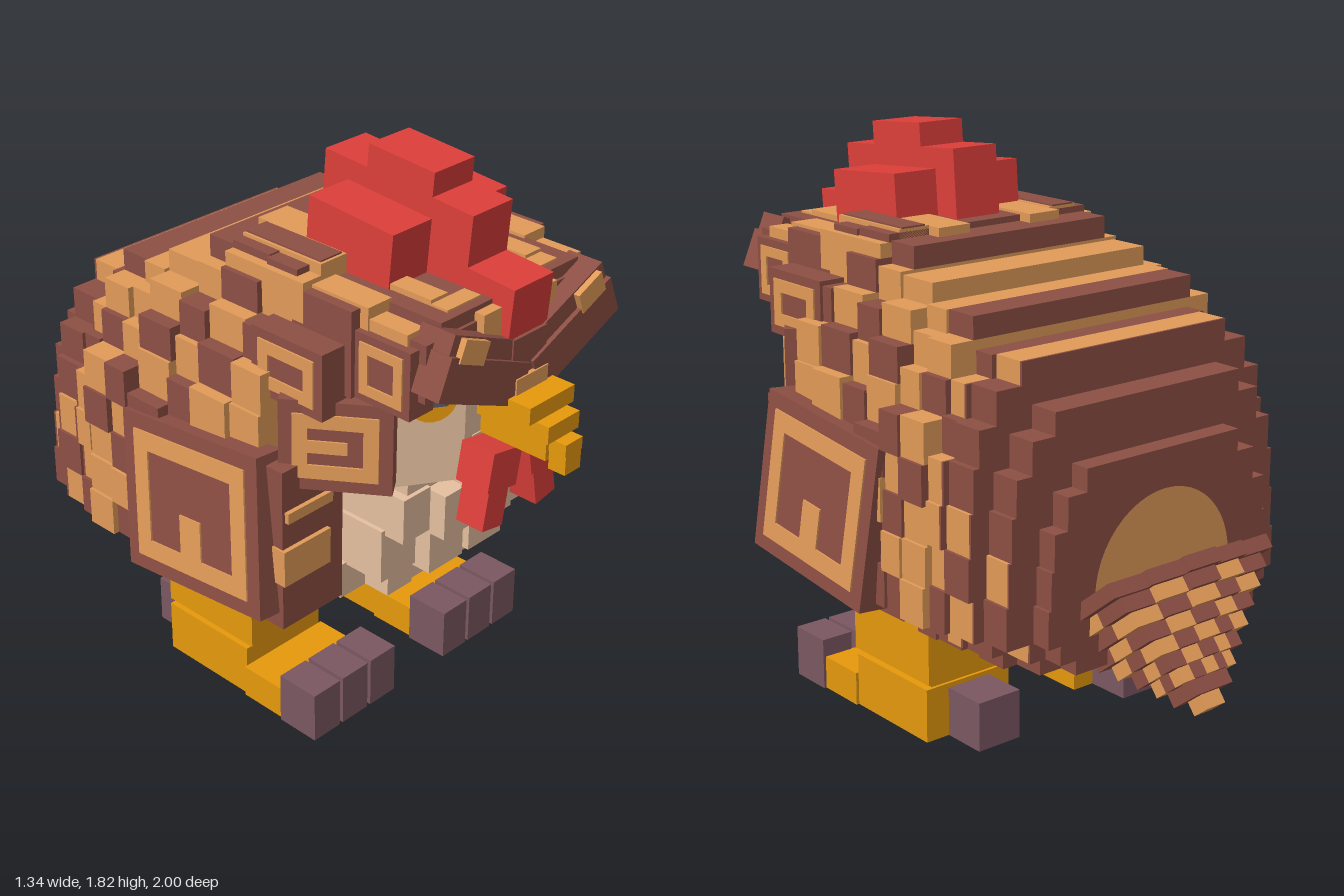
import * as THREE from 'three';

const mat = (name, color) => {
  const m = new THREE.MeshStandardMaterial({ color });
  m.name = name;
  return m;
};

export function createModel() {
  const brown = mat('brown feather', 0x8d4f44);
  const tan = mat('orange feather', 0xe29b58);
  const cream = mat('cream feather', 0xe5c09f);
  const red = mat('red comb', 0xdd3f3a);
  const yellow = mat('yellow skin', 0xe6990c);
  const claw = mat('claw', 0x7b5762);
  const grey = mat('pupil', 0x5c5660);

  const model = new THREE.Group();
  const add = (geo, m, name, parent = model) => {
    const mesh = new THREE.Mesh(geo, m);
    mesh.name = name;
    parent.add(mesh);
    return mesh;
  };
  // Box given by its extents on each axis
  const box = (name, m, x0, x1, y0, y1, z0, z1, parent = model) => {
    const b = add(new THREE.BoxGeometry(Math.abs(x1 - x0), y1 - y0, z1 - z0), m, name, parent);
    b.position.set((x0 + x1) / 2, (y0 + y1) / 2, (z0 + z1) / 2);
    return b;
  };
  const group = (name, x, y, z) => {
    const g = new THREE.Group();
    g.name = name;
    g.position.set(x, y, z);
    g.rotation.order = 'YXZ';
    model.add(g);
    return g;
  };
  // Brown slab with a square orange ring on its +z face
  const slab = (g, w, h, depth, inset, band) => {
    box('slab', brown, -w / 2, w / 2, -h / 2, h / 2, -depth, 0, g);
    const a = w / 2 - inset, b = h / 2 - inset, t = 0.006;
    for (const s of [-1, 1]) {
      box('ringSide', tan, s * a, s * (a - band), -b, b, 0, t, g);
      box('ringEdge', tan, -a + band, a - band, s > 0 ? b - band : -b, s > 0 ? b : -b + band, 0, t, g);
    }
  };

  // Body: stepped slices from back to front [z0, z1, top, halfWidth, top is orange]
  const slices = [
    [-0.765, -0.70, 0.99, 0.43, 0], [-0.70, -0.60, 1.15, 0.52, 0], [-0.60, -0.49, 1.28, 0.575, 1],
    [-0.49, -0.42, 1.28, 0.585, 0], [-0.42, -0.31, 1.38, 0.6, 0], [-0.31, -0.22, 1.38, 0.6, 1],
    [-0.22, -0.08, 1.44, 0.6, 1], [-0.08, 0.03, 1.52, 0.6, 0], [0.03, 0.18, 1.54, 0.59, 0],
    [0.18, 0.30, 1.535, 0.57, 0],
  ];
  // Widest half-width allowed at each height
  const limits = [[1.04, 0.6], [1.12, 0.56], [1.24, 0.53], [1.32, 0.49], [1.4, 0.45], [1.47, 0.42], [9, 0.38]];
  slices.forEach(([z0, z1, top, w, light], i) => {
    const rows = [[0.375, 0.42, 0.78], [0.42, 0.48, 0.87]];
    const n = Math.round((top - 0.76) / 0.13), step = (top - 0.76) / n;
    for (let k = 0; k < n; k++) rows.push([0.48 + k * step, 0.48 + (k + 1) * step, 1]);
    rows.push([top - 0.28, top - 0.17, 0.93], [top - 0.17, top - 0.07, 0.84], [top - 0.07, top, 0.7]);
    rows.forEach(([y0, y1, f], r) => {
      const last = r === rows.length - 1;
      const check = i > 0 && r > (i > 7 ? 1 : 0) && (i + r + (i * r * 3 % 7 === 1 ? 1 : 0)) % 2 === 0;
      const m = (last ? light : check) ? tan : brown;
      const limit = limits.find(([y]) => (y0 + y1) / 2 < y)[1];
      const hw = Math.min(w * f, limit) + ((i * 7 + r * 5) % 3) * 0.01;
      const back = m === tan && i < 4 ? 0.008 : 0;
      box('bodyFeather', m, -hw, hw, y0, y1, z0 + back, z1);
      if (back) box('bodyBack', brown, -hw, hw, y0, y1, z0, z0 + back);
    });
  });
  const arc = add(new THREE.CircleGeometry(0.27, 24, 0, Math.PI), tan, 'rumpPatch');
  arc.rotation.y = Math.PI;
  arc.position.set(0, 0.6, -0.77);

  // Tail: tapering checked layers pointing down and back
  const tail = group('tail', 0, 0.56, -0.72);
  tail.rotation.x = Math.atan2(0.63, 0.777);
  const layers = 9;
  for (let i = 0; i < layers; i++) {
    const t = i / (layers - 1), w = 0.32 - 0.285 * t, d = 0.25 - 0.215 * t, y = -i * 0.045;
    const n = i < 7 ? 5 : 1, m = i < 7 ? 3 : 1;
    for (let c = 0; c < n; c++) {
      const x0 = -w + (c * 2 * w) / n, dz = d * (1 - 0.1 * Math.abs(c - (n - 1) / 2));
      for (let k = 0; k < m; k++) {
        const z0 = -dz + (k * 2 * dz) / m, color = (i === 0 && k < 2) || (i + c + k) % 2 ? brown : tan;
        box('tailFeather', color, x0, x0 + (2 * w) / n, y - 0.045, y, z0, z0 + (2 * dz) / m, tail);
      }
    }
  }

  // Belly: overlapping cream tiers of feathers [y0, y1, halfWidth, front z, count]
  [[0.44, 0.56, 0.33, 0.48, 6], [0.54, 0.72, 0.305, 0.61, 4], [0.69, 0.84, 0.29, 0.67, 5], [0.82, 1.01, 0.26, 0.68, 3]]
    .forEach(([y0, y1, w, z, n], t) => {
      for (let k = 0; k < n; k++) {
        const x0 = -w + (2 * w * k) / n, edge = k === 0 || k === n - 1;
        const j = ((k * 2 + t) % 3) * 0.012;
        box('bellyFeather', cream, x0, x0 + (2 * w) / n, y0 + j * (t ? 1 : 0), y1 + j, 0.25, z + j - (edge ? 0.07 : 0));
      }
    });

  // Face: cream wedge with slanted cheeks
  const faceShape = new THREE.Shape([[-0.31, -0.25], [0.31, -0.25], [0.31, -0.58], [0.12, -0.70], [-0.12, -0.70], [-0.31, -0.58]]
    .map(([x, y]) => new THREE.Vector2(x, y)));
  const face = add(new THREE.ExtrudeGeometry(faceShape, { depth: 0.4, bevelEnabled: false }), cream, 'face');
  face.rotation.x = -Math.PI / 2;
  face.position.y = 0.9;

  // Head cap
  box('headBack', brown, -0.42, 0.42, 1.22, 1.49, 0.30, 0.53);
  box('headFront', brown, -0.37, 0.37, 1.27, 1.45, 0.53, 0.76);
  box('crown', brown, -0.3, 0.3, 1.44, 1.49, 0.40, 0.75);
  box('browCentre', tan, -0.16, 0.16, 1.38, 1.475, 0.6, 0.785);
  box('browPoint', brown, -0.075, 0.075, 1.19, 1.38, 0.7, 0.825);
  box('browTip', tan, -0.07, 0.07, 1.2, 1.26, 0.82, 0.84);

  for (const s of [-1, 1]) {
    // Crown markings
    box('crownStripe', tan, s * 0.12, s * 0.24, 1.5, 1.548, -0.02, 0.34);
    box('crownRidge', tan, s * 0.24, s * 0.35, 1.45, 1.55, 0.03, 0.345);
    box('crownRidgeTop', brown, s * 0.255, s * 0.34, 1.55, 1.555, 0.03, 0.335);
    box('crownSide', tan, s * 0.35, s * 0.422, 1.39, 1.515, 0.03, 0.345);
    box('crownEdge', tan, s * 0.29, s * 0.385, 1.42, 1.5, 0.345, 0.56);
    box('crownEdge', tan, s * 0.31, s * 0.38, 1.42, 1.465, 0.56, 0.7);
    box('crownBracket', tan, s * 0.17, s * 0.24, 1.48, 1.508, 0.345, 0.66);
    box('crownBracket', tan, s * 0.1, s * 0.24, 1.48, 1.497, 0.66, 0.72);

    // Slanted brow in two layers
    const brow = group('brow', s * 0.185, 1.3, 0.77);
    brow.rotation.z = s * 0.4;
    box('browLower', brown, s * -0.17, s * 0.205, -0.07, 0.06, -0.07, 0.065, brow);
    box('browUpper', brown, s * -0.15, s * 0.2, 0.06, 0.12, -0.07, 0.05, brow);
    box('browPatch', tan, s * 0.06, s * 0.17, 0.045, 0.115, -0.06, 0.07, brow);

    // Eye
    const eye = group('eye', s * 0.205, 1.18, 0.647);
    eye.rotation.y = s * 0.563;
    const disc = add(new THREE.CylinderGeometry(0.075, 0.075, 0.008, 20), yellow, 'iris', eye);
    disc.rotation.x = Math.PI / 2;
    box('pupil', grey, s * -0.045, s * 0.005, -0.025, 0.05, 0.002, 0.008, eye);

    // Patterned feathers beside the head
    const temple = group('templeFeather', s * 0.405, 1.325, 0.63);
    temple.rotation.y = s * Math.PI / 2;
    slab(temple, 0.21, 0.21, 0.1, 0.025, 0.032);
    const cheek = group('cheekFeather', s * 0.51, 1.275, 0.365);
    cheek.rotation.y = s * Math.PI / 2;
    slab(cheek, 0.28, 0.21, 0.15, 0.03, 0.04);
    const shoulder = group('shoulderFeather', s * 0.455, 1.065, 0.505);
    shoulder.rotation.y = s * 0.96;
    slab(shoulder, 0.33, 0.29, 0.09, 0.04, 0.045);
    box('shoulderMark', tan, s * -0.035, s * 0.08, -0.02, 0.02, 0, 0.006, shoulder);

    // Flank column between belly and wing, with orange feathers
    box('flank', brown, s * 0.335, s * 0.585, 0.46, 1.0, 0.29, 0.42);
    box('flankFeather', tan, s * 0.4, s * 0.592, 0.62, 0.74, 0.29, 0.435);
    box('flankFeather', tan, s * 0.39, s * 0.575, 0.83, 0.865, 0.29, 0.435);
    box('flankFoot', tan, s * 0.46, s * 0.54, 0.415, 0.46, 0.2, 0.32);

    // Wing panel, leaning out at the bottom
    const wing = group('wing', s * 0.645, 0.75, 0.09);
    wing.rotation.set(-0.085, s * Math.PI / 2, s * -0.1);
    slab(wing, 0.58, 0.52, 0.1, 0.05, 0.06);
    box('wingPost', tan, -0.045, 0.045, -0.16, -0.02, 0, 0.006, wing);

    // Wattle
    const wattle = group('wattle', s * 0.09, 0.97, 0.77);
    wattle.rotation.z = s * 0.18;
    box('wattleTop', red, -0.065, 0.065, -0.06, 0.065, -0.06, 0.06, wattle);
    box('wattleTip', red, -0.045, 0.045, -0.19, -0.06, -0.05, 0.05, wattle);

    // Leg, foot and claws
    box('leg', yellow, s * 0.145, s * 0.46, 0.19, 0.385, -0.235, 0.15);
    box('ankle', yellow, s * 0.165, s * 0.44, 0.16, 0.19, -0.22, 0.13);
    box('foot', yellow, s * 0.14, s * 0.465, 0, 0.175, -0.23, 0.13);
    box('toes', yellow, s * 0.13, s * 0.475, 0, 0.11, 0.13, 0.302);
    box('backClaw', claw, s * 0.22, s * 0.38, 0, 0.16, -0.38, -0.23);
    for (let k = 0; k < 3; k++) {
      const x = 0.12 + k * 0.126;
      box('frontClaw', claw, s * x, s * (x + 0.112), 0, 0.17, 0.3, 0.45);
    }
  }

  // Beak
  box('beakBase', yellow, -0.1, 0.1, 1.155, 1.21, 0.66, 0.915);
  box('beakMiddle', yellow, -0.07, 0.07, 1.1, 1.155, 0.66, 0.96);
  box('beakFront', yellow, -0.038, 0.038, 1.06, 1.1, 0.66, 1.0);
  box('beakTip', yellow, -0.035, 0.035, 1.0, 1.06, 0.94, 1.0);
  box('lowerBeak', yellow, -0.05, 0.05, 1.03, 1.1, 0.66, 0.94);

  // Comb, tipped slightly forward
  const comb = group('comb', 0, 1.6, 0.38);
  comb.rotation.x = 0.08;
  box('combMiddle', red, -0.085, 0.085, -0.12, 0.135, -0.285, 0.28, comb);
  box('combTop', red, -0.085, 0.085, 0.13, 0.21, -0.12, 0.13, comb);
  box('combFront', red, -0.085, 0.085, -0.2, -0.025, 0.28, 0.45, comb);
  box('combSide', red, -0.245, 0.245, -0.12, 0.07, -0.19, 0.135, comb);

  return model;
}
